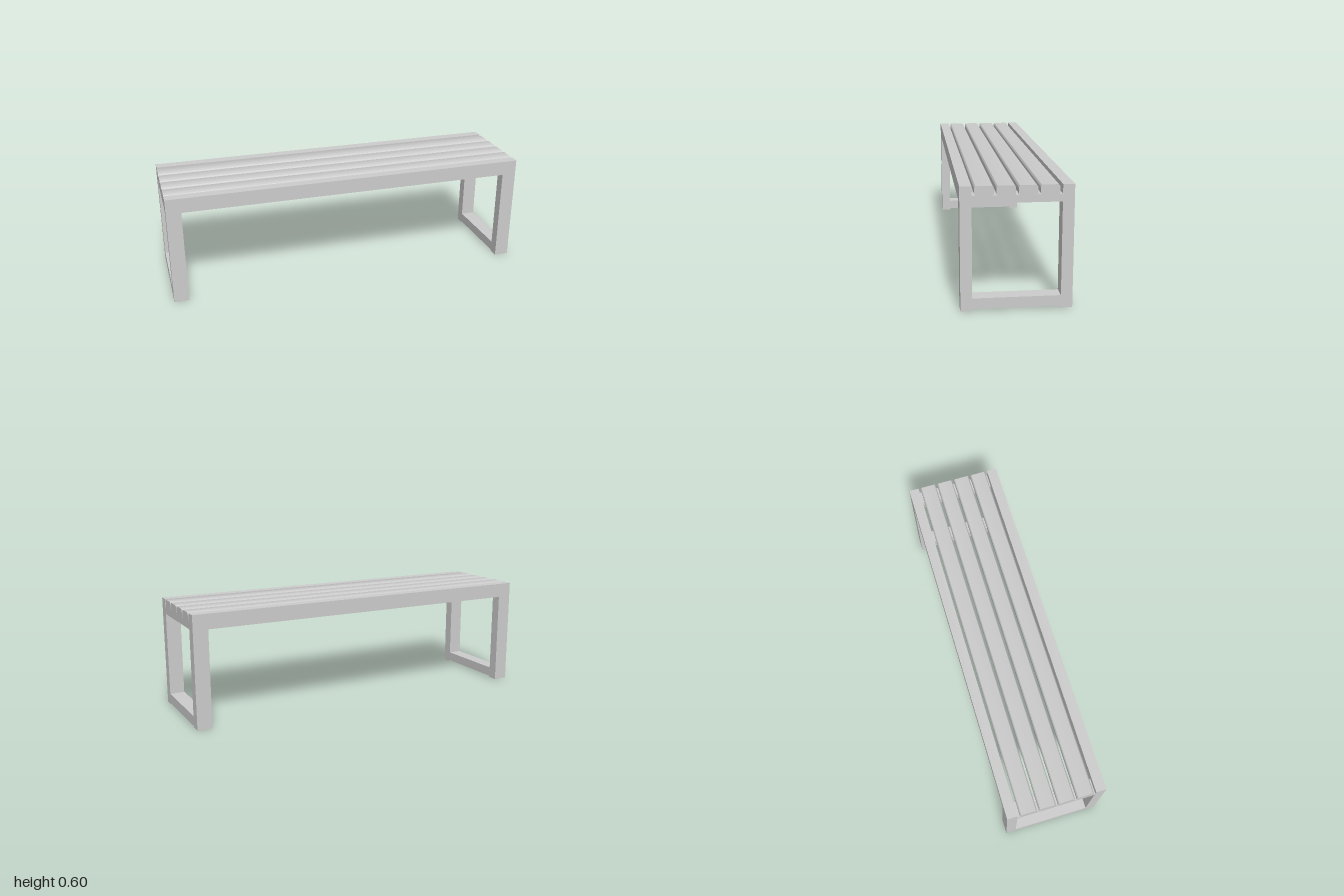
import * as THREE from 'three';
import { toCreasedNormals } from 'three/addons/utils/BufferGeometryUtils.js';

const TOP = 0.602, HALF = 1, POST = 0.08, UNDER = 0.522;
const INNER = 0.211, OUTER = 0.267;

export function createModel() {
  const group = new THREE.Group();
  const material = new THREE.MeshStandardMaterial({ color: 0xcccccc });
  const add = (name, geometry, x, y, z) => {
    const mesh = new THREE.Mesh(geometry, material);
    mesh.name = name;
    mesh.position.set(x, y, z);
    group.add(mesh);
    return mesh;
  };

  // Front and back frames: two legs and a rail in one piece
  const inside = HALF - POST;
  const outline = new THREE.Shape([
    [-HALF, 0], [-inside, 0], [-inside, UNDER], [inside, UNDER],
    [inside, 0], [HALF, 0], [HALF, TOP], [-HALF, TOP],
  ].map(([x, y]) => new THREE.Vector2(x, y)));
  const frame = new THREE.ExtrudeGeometry(outline, { depth: OUTER - INNER, bevelEnabled: false });
  add('frontFrame', frame, 0, 0, INNER);
  add('backFrame', frame, 0, 0, -OUTER);

  // Cross bars joining the frames at each end
  const addBar = (name, side, y0, y1) => add(name,
    new THREE.BoxGeometry(POST, y1 - y0, 2 * INNER), side * (HALF - POST / 2), (y0 + y1) / 2, 0);
  for (const [label, side] of [['left', 1], ['right', -1]]) {
    addBar(label + 'SeatSupport', side, 0.52, 0.557);
    addBar(label + 'FootBar', side, 0.008, 0.062);
  }

  // Seat slats with rounded long edges
  const w = 0.045, y0 = 0.554, r = 0.012;
  const profile = new THREE.Shape();
  profile.moveTo(w, y0 + r);
  profile.absarc(w - r, TOP - r, r, 0, Math.PI / 2);
  profile.absarc(-w + r, TOP - r, r, Math.PI / 2, Math.PI);
  profile.absarc(-w + r, y0 + r, r, Math.PI, Math.PI * 1.5);
  profile.absarc(w - r, y0 + r, r, Math.PI * 1.5, Math.PI * 2);
  const slat = toCreasedNormals(
    new THREE.ExtrudeGeometry(profile, { depth: 2 * HALF, bevelEnabled: false, curveSegments: 6 }), 0.7);
  slat.translate(0, 0, -HALF).rotateY(Math.PI / 2);
  for (let i = 0; i < 4; i++) add('seatSlat' + (i + 1), slat, 0, 0, 0.154 - i * 0.1023);

  return group;
}
